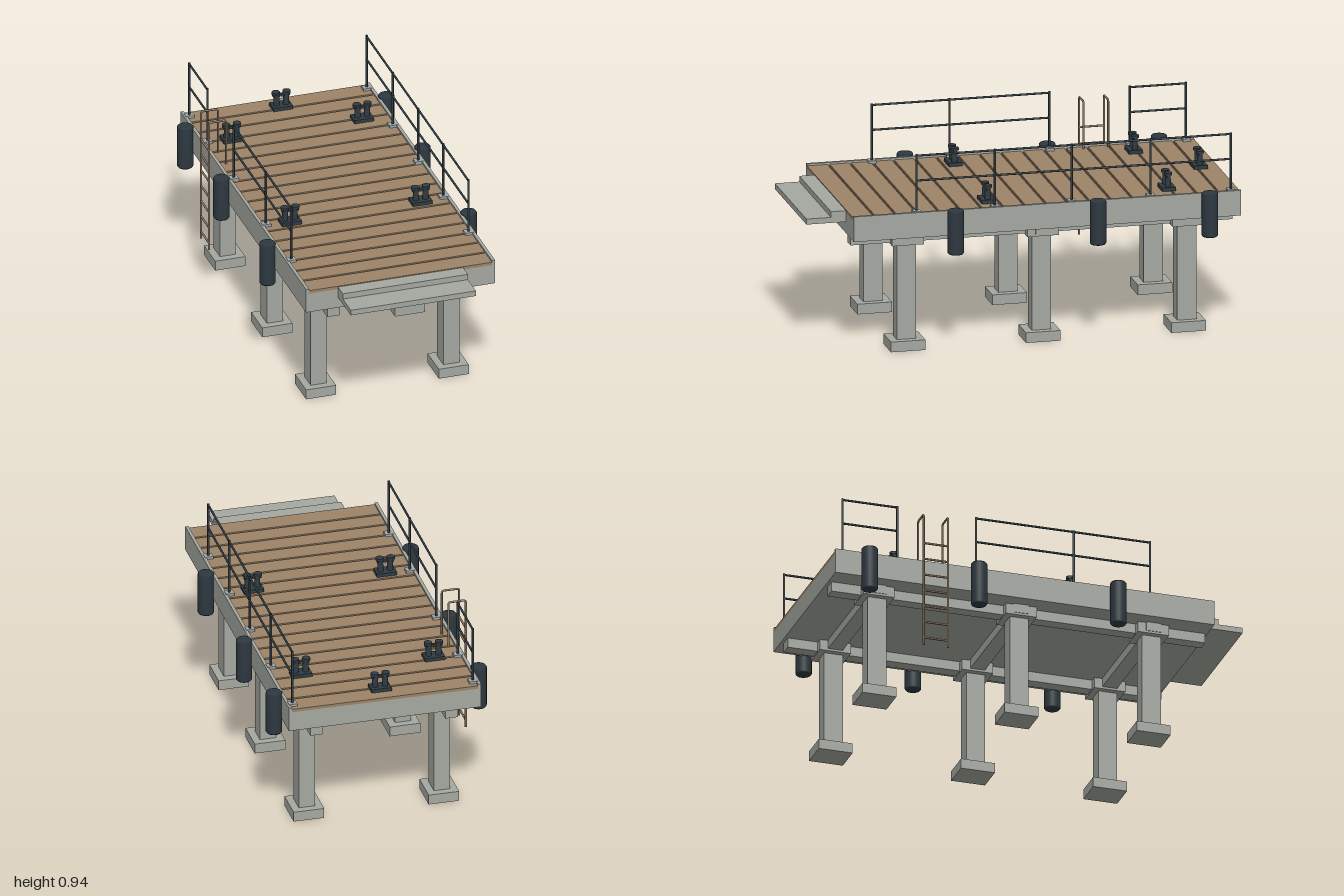
import * as THREE from 'three';

const mat = (name, color) => Object.assign(new THREE.MeshStandardMaterial({ color }), { name });

export function createModel() {
  const root = new THREE.Group();
  root.name = 'pier';
  const concrete = mat('concrete', 0xa5a8a1);
  const wood = mat('deck wood', 0x9c8468);
  const seam = mat('plank seam', 0x5e4e40);
  const steel = mat('dark steel', 0x2f3b42);
  const rubber = mat('fender rubber', 0x2d383f);
  const ladderMetal = mat('ladder metal', 0x8a7660);
  const plate = mat('base plate', 0xa0a8aa);

  const add = (parent, name, geo, material, x = 0, y = 0, z = 0) => {
    const m = new THREE.Mesh(geo, material);
    m.name = name;
    m.position.set(x, y, z);
    parent.add(m);
    return m;
  };
  // box given by its extents
  const box = (parent, name, material, [x0, x1], [y0, y1], [z0, z1]) =>
    add(parent, name, new THREE.BoxGeometry(x1 - x0, y1 - y0, z1 - z0), material,
      (x0 + x1) / 2, (y0 + y1) / 2, (z0 + z1) / 2);
  const group = (name, x = 0, y = 0, z = 0) => {
    const g = new THREE.Group();
    g.name = name;
    g.position.set(x, y, z);
    root.add(g);
    return g;
  };
  // round bar between two points
  const bar = (parent, name, material, a, b, r) => {
    const p = new THREE.Vector3(...a), q = new THREE.Vector3(...b);
    const m = add(parent, name, new THREE.CylinderGeometry(r, r, p.distanceTo(q), 10), material);
    m.position.copy(p).add(q).multiplyScalar(0.5);
    m.quaternion.setFromUnitVectors(new THREE.Vector3(0, 1, 0), q.sub(p).normalize());
  };

  const zBack = -1, zFront = 0.815;

  // Slab, edge curbs and front steps
  box(root, 'slab', concrete, [-0.453, 0.453], [0.553, 0.648], [zBack, zFront]);
  for (const s of [-1, 1]) {
    const xs = s > 0 ? [0.438, 0.453] : [-0.453, -0.438];
    box(root, 'curb', concrete, xs, [0.648, 0.672], [zBack, zFront]);
  }
  box(root, 'upperStep', concrete, [-0.3, 0.3], [0.632, 0.659], [zFront, 0.885]);
  box(root, 'lowerStep', concrete, [-0.3, 0.3], [0.606, 0.632], [zFront, 1]);

  // Deck planks with dark seams
  const planks = 18, pitch = (zFront - zBack) / planks, gap = 0.011;
  const deck = group('deck');
  box(deck, 'plankSeams', seam, [-0.438, 0.438], [0.648, 0.655], [zBack + 0.01, zFront - 0.01]);
  for (let i = 0; i < planks; i++) {
    const z0 = zBack + i * pitch + (i ? gap / 2 : 0);
    const z1 = zBack + (i + 1) * pitch - (i < planks - 1 ? gap / 2 : 0);
    box(deck, 'plank', wood, [-0.438, 0.438], [0.648, 0.663], [z0, z1]);
  }

  // Beams, piles, caps and footings
  const rows = [0.545, -0.088, -0.769];
  for (const z of rows) {
    box(root, 'crossBeam', concrete, [-0.388, 0.388], [0.51, 0.553], [z - 0.035, z + 0.035]);
    for (const x of [-0.318, 0.318]) {
      const pile = group('pile', x, 0, z);
      box(pile, 'footing', concrete, [-0.072, 0.072], [0, 0.048], [-0.081, 0.081]);
      box(pile, 'column', concrete, [-0.038, 0.038], [0.048, 0.5], [-0.045, 0.045]);
      box(pile, 'pileCap', concrete, [-0.067, 0.067], [0.5, 0.55], [-0.074, 0.074]);
    }
  }
  for (const x of [-0.318, 0.318])
    box(root, 'longBeam', concrete, [x - 0.03, x + 0.03], [0.507, 0.553], [-0.985, 0.805]);

  // Rubber fenders
  const fenderProfile = [[0, -0.104], [0.033, -0.104], [0.0375, -0.098], [0.0375, 0.098], [0.033, 0.104], [0, 0.104]]
    .map(p => new THREE.Vector2(...p));
  const fenderGeo = new THREE.LatheGeometry(fenderProfile, 24);
  for (const s of [-1, 1])
    for (const z of [0.345, -0.322, -0.846])
      add(root, 'fender', fenderGeo, rubber, s * 0.482, 0.578, z);

  // Railings: a row of posts on plates with two rails
  const railing = (x, posts) => {
    const g = group('railing', x);
    for (const z of posts) {
      box(g, 'postPlate', plate, [-0.02, 0.02], [0.66, 0.675], [z - 0.018, z + 0.018]);
      bar(g, 'post', steel, [0, 0.67, z], [0, 0.94, z], 0.0055);
    }
    const a = posts[0], b = posts[posts.length - 1];
    for (const y of [0.934, 0.816]) bar(g, 'rail', steel, [0, y, a], [0, y, b], 0.005);
  };
  railing(0.425, [0.515, 0.148, -0.212, -0.582, -0.958]);
  railing(-0.425, [0.515, 0.15, -0.318]);
  railing(-0.425, [-0.695, -0.958]);

  // Double mooring bitts
  for (const [x, z] of [[0, -0.912], [-0.313, -0.685], [0.313, -0.685], [-0.313, 0.16], [0.313, 0.16]]) {
    const g = group('bollard', x, 0.663, z);
    box(g, 'bollardBase', steel, [-0.047, 0.047], [0, 0.017], [-0.032, 0.032]);
    for (const s of [-1, 1]) {
      add(g, 'bollardPost', new THREE.CylinderGeometry(0.013, 0.014, 0.056, 16), steel, s * 0.023, 0.045, 0);
      add(g, 'bollardCap', new THREE.CylinderGeometry(0.019, 0.019, 0.012, 16), steel, s * 0.026, 0.078, 0);
    }
    box(g, 'bollardBar', steel, [-0.04, 0.04], [0.06, 0.072], [-0.008, 0.008]);
  }

  // Boarding ladder with hooped handrails
  const ladder = group('ladder');
  const lz = [-0.474, -0.59];
  for (const z of lz) {
    const path = new THREE.CurvePath();
    const v = (x, y) => new THREE.Vector3(x, y, z);
    path.add(new THREE.LineCurve3(v(-0.491, 0.235), v(-0.491, 0.875)));
    path.add(new THREE.QuadraticBezierCurve3(v(-0.491, 0.875), v(-0.491, 0.886), v(-0.48, 0.886)));
    path.add(new THREE.LineCurve3(v(-0.48, 0.886), v(-0.42, 0.886)));
    path.add(new THREE.QuadraticBezierCurve3(v(-0.42, 0.886), v(-0.409, 0.886), v(-0.409, 0.875)));
    path.add(new THREE.LineCurve3(v(-0.409, 0.875), v(-0.409, 0.66)));
    add(ladder, 'ladderRail', new THREE.TubeGeometry(path, 160, 0.005, 8), ladderMetal);
    add(ladder, 'ladderRailEnd', new THREE.CylinderGeometry(0.005, 0.005, 0.004, 8), ladderMetal, -0.491, 0.235, z);
  }
  for (let i = 0; i < 7; i++) {
    const y = 0.268 + i * 0.079;
    bar(ladder, 'rung', ladderMetal, [-0.491, y, lz[0]], [-0.491, y, lz[1]], 0.005);
  }
  return root;
}
